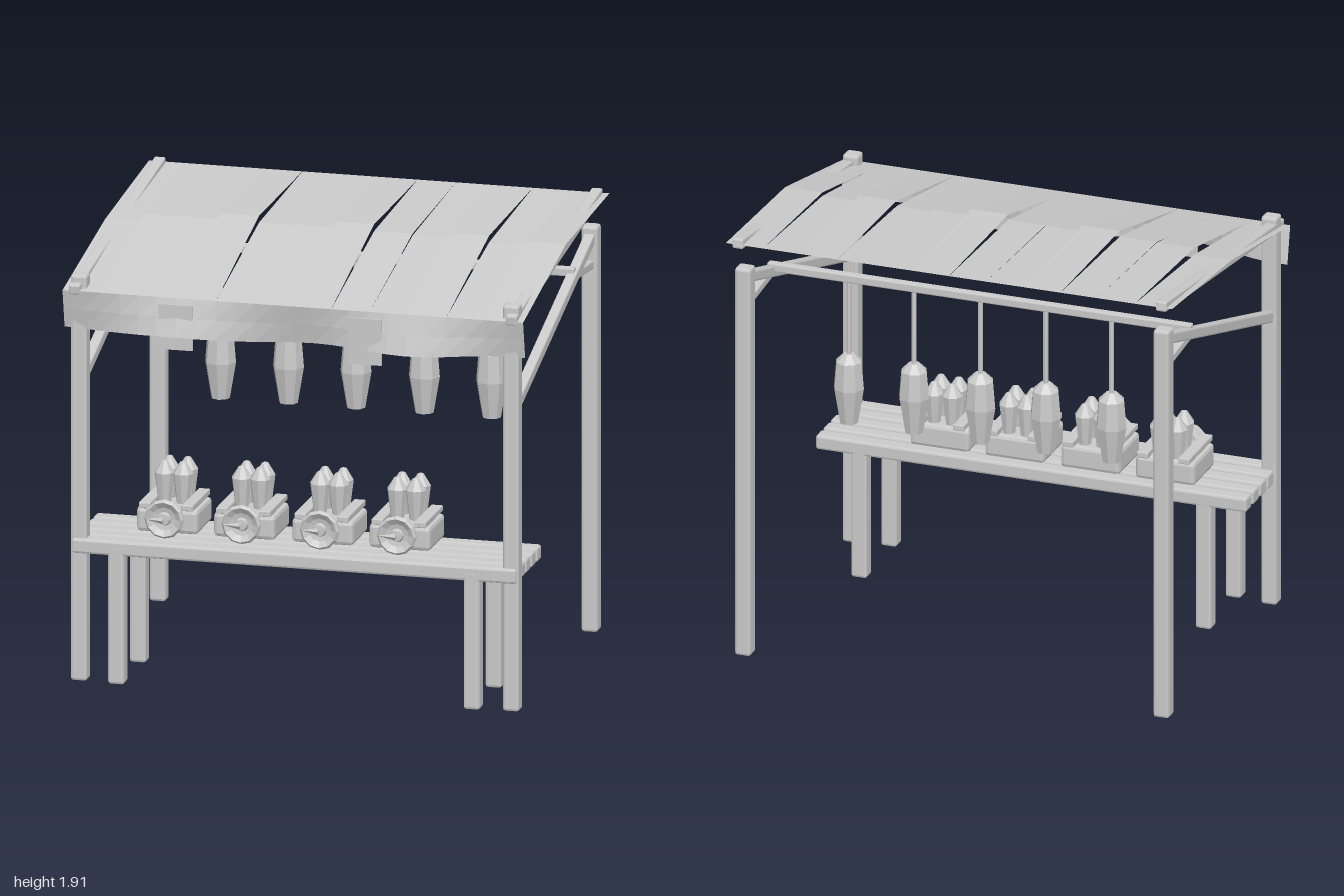
import * as THREE from 'three';
import { RoundedBoxGeometry } from 'three/addons/geometries/RoundedBoxGeometry.js';

export function createModel() {
  const model = new THREE.Group();
  const grey = new THREE.MeshStandardMaterial({ color: 0xcacaca, flatShading: true, side: THREE.DoubleSide });
  grey.name = 'plain grey';

  const add = (name, geometry, x = 0, y = 0, z = 0, parent = model) => {
    const mesh = new THREE.Mesh(geometry, grey);
    mesh.name = name;
    mesh.position.set(x, y, z);
    parent.add(mesh);
    return mesh;
  };
  const timber = (w, h, d) => new RoundedBoxGeometry(w, h, d, 1, Math.min(w, h, d) * 0.16);
  // square beam in a plane of constant x, between two [z, y] ends
  const beam = (name, x, [z0, y0], [z1, y1], w, h) => {
    const mesh = add(name, timber(w, h, Math.hypot(z1 - z0, y1 - y0)), x, (y0 + y1) / 2, (z0 + z1) / 2);
    mesh.rotation.x = Math.atan2(y1 - y0, z0 - z1);
  };
  const lathe = (points, sides) =>
    new THREE.LatheGeometry(points.map(([r, y]) => new THREE.Vector2(r, y)), sides);
  // open sheet from a grid rule
  const sheet = (nu, nv, rule) => {
    const g = new THREE.PlaneGeometry(1, 1, nu, nv);
    const p = g.attributes.position;
    for (let i = 0; i < p.count; i++) p.setXYZ(i, ...rule(p.getX(i) + 0.5, 0.5 - p.getY(i)));
    g.computeVertexNormals();
    return g;
  };

  // frame: posts, rafters and braces on both sides
  for (const s of [-1, 1]) {
    add('frontPost', timber(0.07, 1.767, 0.07), s * 0.938, 0.8835, 0.622);
    add('backPost', timber(0.07, 1.767, 0.07), s * 0.938, 0.8835, -0.664);
    beam('rafter', s * 0.949, [0.686, 1.709], [-0.725, 1.892], 0.048, 0.044);
    beam('sideBrace', s * 0.938, [0.594, 1.315], [-0.645, 1.715], 0.045, 0.048);
    beam('shortBrace', s * 0.938, [-0.345, 1.628], [-0.635, 1.602], 0.04, 0.036);
    for (const z of [0.638, 0.283]) add('benchLeg', timber(0.07, 0.6, 0.07), s * 0.772, 0.3, z);
  }
  add('hangingBar', timber(1.9, 0.038, 0.038), 0, 1.645, -0.356);

  // roof strips, each arched to its own height
  const crests = [1.828, 1.859, 1.861, 1.887, 1.858, 1.861, 1.886, 1.857, 1.849, 1.873, 1.845, 1.86];
  crests.forEach((crest, i) => {
    const x0 = -1 + i / 6;
    const rows = [[1.89, -0.729], [crest, -0.02], [1.705, 0.683]];
    add('roofStrip', sheet(1, 2, (u, v) => [x0 + u / 6, ...rows[Math.round(v * 2)]]));
  });

  // wavy cloth hanging from the front edge
  add('valance', sheet(24, 2, (u, v) => {
    const x = u * 2 - 1;
    const wave = -Math.cos(x * Math.PI * 2);
    return [x, 1.705 - 0.165 * v + 0.005 * v * Math.sin(x * 9), 0.683 + v * (0.006 + 0.04 * wave)];
  }));
  add('clothPatch', new THREE.BoxGeometry(0.148, 0.195, 0.008), -0.503, 1.583, 0.702);
  add('clothPatch', new THREE.BoxGeometry(0.146, 0.2, 0.008), 0.318, 1.58, 0.702);

  // hanging lanterns
  const lanternBody = lathe([[0, 0.987], [0.04, 0.987], [0.067, 1.145], [0.057, 1.265], [0.023, 1.3], [0, 1.3]], 8);
  const cord = new THREE.CylinderGeometry(0.011, 0.011, 0.34, 6);
  for (const x of [-0.59, -0.295, -0.002, 0.295, 0.587]) {
    const lantern = new THREE.Group();
    lantern.name = 'lantern';
    lantern.position.set(x, 0, -0.358);
    add('lanternBody', lanternBody, 0, 0, 0, lantern);
    add('lanternCord', cord, 0, 1.465, 0, lantern);
    model.add(lantern);
  }

  // bench planks
  for (let i = 0; i < 5; i++)
    add('benchPlank', timber(1.93, 0.064, 0.071), 0, 0.591, 0.637 - i * 0.0885);

  // goods on the bench: crate, rails, front dial and a cluster of crystals
  const crystal = lathe([[0, 0.72], [0.026, 0.72], [0.044, 0.865], [0.014, 0.913], [0, 0.918]], 8);
  const dial = lathe([[0, -0.03], [0.06, -0.03], [0.066, -0.008], [0.083, -0.002], [0.085, 0.014], [0.075, 0.026],
    [0.05, 0.01], [0.03, 0.006], [0.024, 0.022], [0, 0.024]], 12);
  for (const x of [-0.59, -0.255, 0.085, 0.42]) {
    const goods = new THREE.Group();
    goods.name = 'crateOfCrystals';
    goods.position.set(x, 0, -0.007);
    add('crate', timber(0.266, 0.105, 0.25), 0, 0.684, 0.405, goods);
    for (const s of [-1, 1]) {
      add('crateRail', timber(0.05, 0.026, 0.285), s * 0.093, 0.75, 0.4025, goods);
      for (const z of [0.41, 0.33]) add('crystal', crystal, s * 0.04, 0, z, goods);
    }
    add('dial', dial, 0, 0.705, 0.56, goods).rotation.x = Math.PI / 2;
    add('pointer', new THREE.ConeGeometry(0.016, 0.08, 5), -0.042, 0.702, 0.582, goods).rotation.z = Math.PI / 2;
    model.add(goods);
  }
  return model;
}
